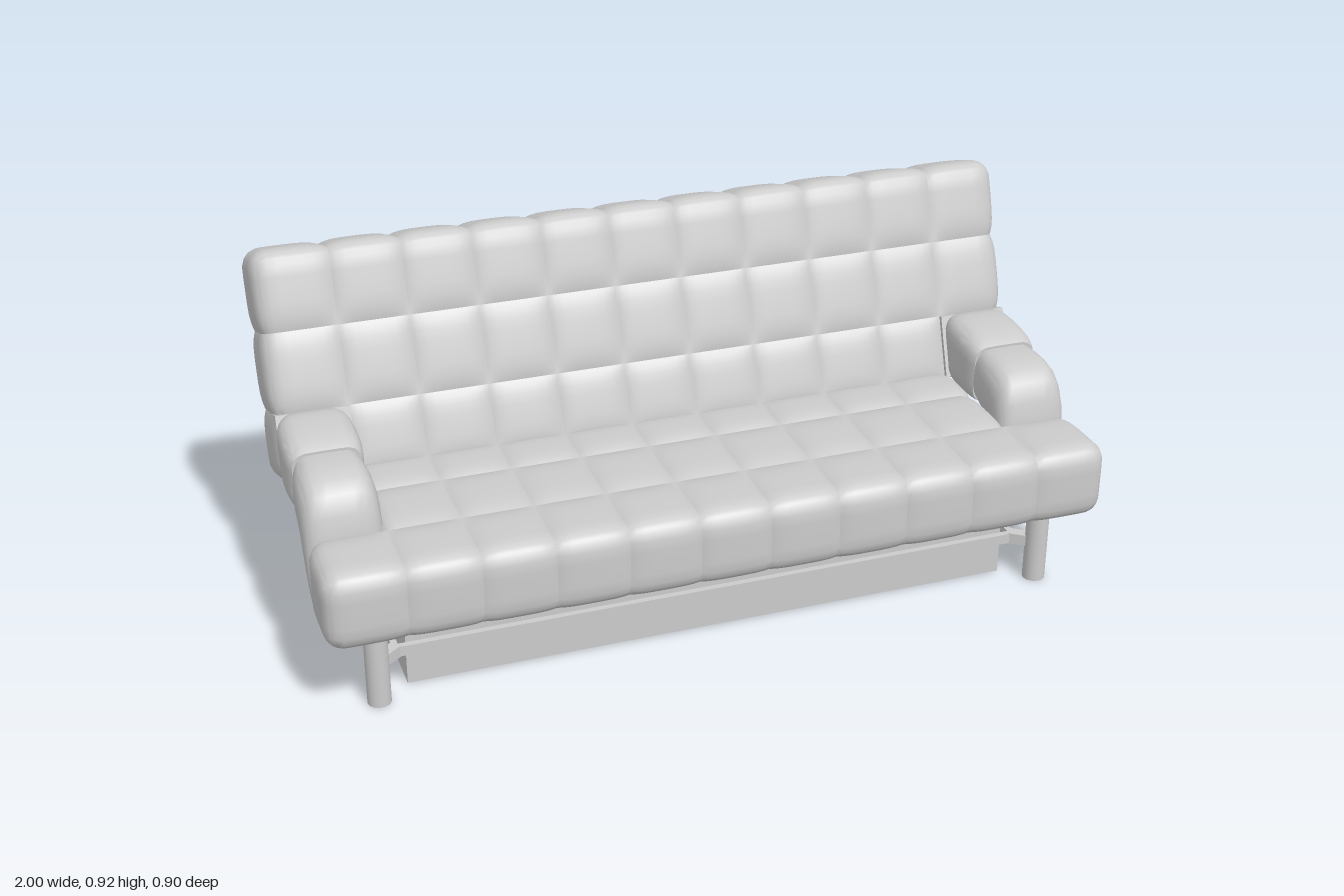
import * as THREE from 'three';
import { toCreasedNormals } from 'three/addons/utils/BufferGeometryUtils.js';

const material = new THREE.MeshStandardMaterial({ color: 0xcccccc });
const R = 0.05; // upholstery edge radius

// Line (2 points) or cubic curve (4 points) in the (z, y) plane
function curve(points) {
  const p = points.map(([z, y]) => new THREE.Vector2(z, y));
  return p.length === 2 ? new THREE.LineCurve(...p) : new THREE.CubicBezierCurve(...p);
}

// One padded cell between a low and a high side curve, from x0 to x1.
// outer = [[x-, x+], [low, high], [start, end]]: 1 is a rounded free side, 0 a sewn seam.
function cushion(name, x0, x1, lowPts, highPts, outer) {
  const low = curve(lowPts), high = curve(highPts);
  const height = (low.getPoint(0).distanceTo(high.getPoint(0)) + low.getPoint(1).distanceTo(high.getPoint(1))) / 2;
  const half = [(x1 - x0) / 2, height / 2, (low.getLength() + high.getLength()) / 4];
  const geo = new THREE.BoxGeometry(2, 2, 2, 10, 10, 10);
  const pos = geo.attributes.position;
  for (let i = 0; i < pos.count; i++) {
    const core = [], d = [];
    let puff = 1;
    [pos.getX(i), pos.getY(i), pos.getZ(i)].forEach((p, a) => {
      const t = Math.sin(p * Math.PI / 2), c = t * half[a];
      core[a] = THREE.MathUtils.clamp(c, -half[a] + outer[a][0] * R, half[a] - outer[a][1] * R);
      d[a] = c - core[a];
      if (!outer[a][t < 0 ? 0 : 1]) puff *= 1 - t ** 4;
    });
    // Round the free edges and sink the surface towards the seams
    const len = Math.hypot(...d) || 1;
    const sink = 0.22 + 0.16 * Math.min(0, d[1] / len);
    const scale = Math.max(...d.map(Math.abs)) / len * (1 - sink * (1 - puff));
    const [x, v, u] = core.map((c, a) => (c + d[a] * scale) / half[a] / 2 + 0.5);
    const uu = THREE.MathUtils.clamp(u, 0, 1);
    const p = low.getPoint(uu).lerp(high.getPoint(uu), v);
    pos.setXYZ(i, x0 + (x1 - x0) * x, p.y, p.x);
  }
  geo.deleteAttribute('uv');
  const mesh = new THREE.Mesh(toCreasedNormals(geo, 0.75), material);
  mesh.name = name;
  return mesh;
}

function box(name, sx, sy, sz, x, y, z) {
  const mesh = new THREE.Mesh(new THREE.BoxGeometry(sx, sy, sz), material);
  mesh.name = name;
  mesh.position.set(x, y, z);
  return mesh;
}

function group(name, parent) {
  const g = new THREE.Group();
  g.name = name;
  parent.add(g);
  return g;
}

export function createModel() {
  const sofa = new THREE.Group();
  sofa.name = 'sofaBed';

  // Column seams: nine equal columns between two end columns
  const xs = [-1];
  for (let i = 0; i <= 9; i++) xs.push(-0.805 + i * 1.61 / 9);
  xs.push(1);

  // A row of cells, full width or only between the arms
  function row(parent, name, full, low, high, v, u, endV = v, endU = u) {
    const first = full ? 0 : 1, last = full ? 10 : 9;
    for (let i = first; i <= last; i++) {
      const a = i === first, b = i === last, end = full && (a || b);
      const x0 = xs[i] - (a && !full ? 0.02 : 0), x1 = xs[i + 1] + (b && !full ? 0.02 : 0);
      parent.add(cushion(name, x0, x1, low, high, [[+a, +b], end ? endV : v, end ? endU : u]));
    }
  }

  // Seat: front row spans the full width, two rows sit between the arms
  const seat = group('seat', sofa);
  row(seat, 'seatFrontCushion', true, [[0.245, 0.21], [0.452, 0.21]], [[0.245, 0.412], [0.452, 0.412]], [1, 1], [0, 1]);
  row(seat, 'seatMiddleCushion', false, [[0.048, 0.21], [0.245, 0.21]], [[0.045, 0.412], [0.245, 0.412]], [1, 1], [0, 0]);
  row(seat, 'seatRearCushion', false, [[-0.04, 0.21], [0.048, 0.21]], [[-0.098, 0.412], [0.045, 0.412]], [1, 1], [0, 0]);

  // Reclined back: [rear, front] points of each seam from the bottom up
  const back = group('backrest', sofa);
  const seams = [
    [[-0.235, 0.21], [-0.04, 0.21]],
    [[-0.27, 0.313], [-0.08, 0.383]],
    [[-0.327, 0.485], [-0.137, 0.55]],
    [[-0.396, 0.67], [-0.202, 0.74]],
    [[-0.465, 0.865], [-0.265, 0.934]],
  ];
  for (let i = 0; i < 4; i++) {
    const [[r0, f0], [r1, f1]] = [seams[i], seams[i + 1]];
    const u = [+(i === 3), +(i === 0)];
    row(back, 'backCushion', i > 0, [r1, r0], [f1, f0], [1, +(i > 0)], u,
      [1, +(i > 1)], i === 1 ? [0, 1] : u);
  }

  // Arched arms, each in two padded segments
  for (const s of [-1, 1]) {
    const arm = group(s > 0 ? 'leftArm' : 'rightArm', sofa);
    const x0 = s > 0 ? 0.805 : -0.997, x1 = s > 0 ? 0.997 : -0.805;
    arm.add(cushion('armFront', x0, x1,
      [[0.05, 0.372], [0.11, 0.372], [0.16, 0.32], [0.19, 0.21]],
      [[0.05, 0.544], [0.21, 0.51], [0.245, 0.56], [0.245, 0.21]], [[1, 1], [1, 1], [0, 0]]));
    arm.add(cushion('armRear', x0, x1,
      [[-0.08, 0.372], [0.05, 0.372]],
      [[-0.145, 0.56], [-0.08, 0.562], [-0.01, 0.556], [0.05, 0.544]], [[1, 1], [1, 1], [0, 0]]));
  }

  // Storage box with its surrounding rail
  const base = group('base', sofa);
  base.add(box('storageBox', 1.58, 0.19, 0.42, 0, 0.1, 0.088));
  for (const z of [0.309, -0.134]) base.add(box('longRail', 1.65, 0.027, 0.016, 0, 0.109, z));
  for (const s of [-1, 1]) {
    base.add(box('sideRail', 0.016, 0.027, 0.44, s * 0.817, 0.109, 0.088));
    base.add(box('seatSupport', 0.06, 0.03, 0.38, s * 0.74, 0.205, 0.088));
    // Legs and the brackets joining them to the rail
    for (const [z, dir] of [[0.347, 1], [-0.176, -1]]) {
      const leg = new THREE.Mesh(new THREE.CylinderGeometry(0.029, 0.029, 0.22, 24), material);
      leg.name = 'leg';
      leg.position.set(s * 0.87, 0.112, z);
      base.add(leg);
      const bracket = box('legBracket', 0.07, 0.03, 0.03, s * 0.84, 0.109, z - dir * 0.024);
      bracket.rotation.y = -s * dir * 0.65;
      base.add(bracket);
    }
  }
  return sofa;
}
